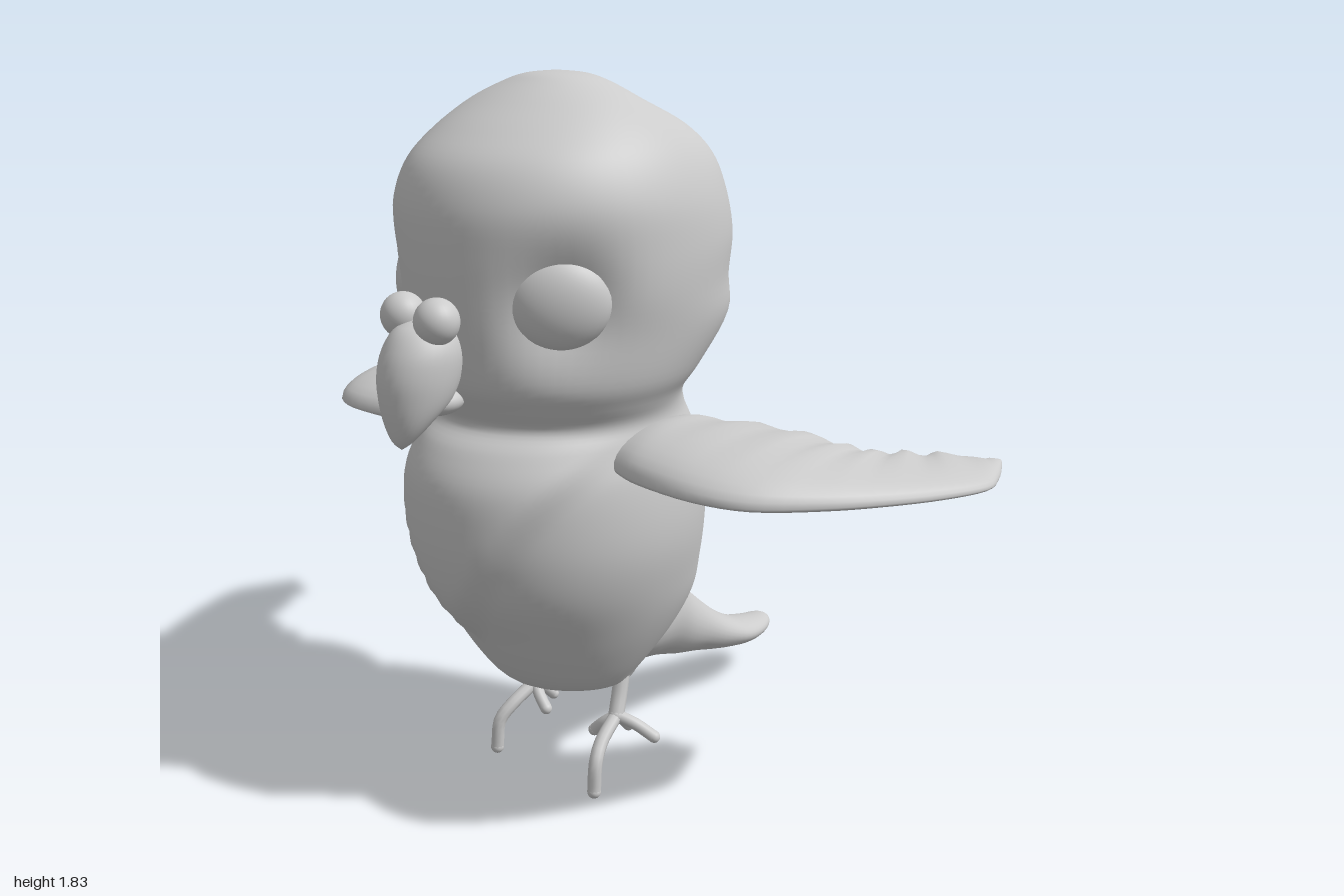
import * as THREE from 'three';

const material = new THREE.MeshStandardMaterial({ color: 0xcccccc, roughness: 0.8 });

// Catmull-Rom blend of a list of stations into a finer list
function refine(rows, steps) {
  const out = [];
  const at = (i) => rows[Math.min(Math.max(i, 0), rows.length - 1)];
  for (let i = 0; i < rows.length - 1; i++) {
    for (let s = 0; s < steps; s++) {
      const t = s / steps;
      out.push(at(i).map((b, k) => {
        const a = at(i - 1)[k], c = at(i + 1)[k], d = at(i + 2)[k];
        return b + 0.5 * t * (c - a + t * (2 * a - 5 * b + 4 * c - d + t * (3 * (b - c) + d - a)));
      }));
    }
  }
  out.push(rows[rows.length - 1]);
  return out;
}

// Skins closed rings: point(station, cos, sin) gives a corner as [x, y, z]
function loft(name, stations, segments, steps, point) {
  const rows = refine(stations, steps), pos = [], idx = [];
  rows.forEach((row, i) => {
    for (let j = 0; j < segments; j++) {
      const a = (j / segments) * Math.PI * 2;
      pos.push(...point(row, Math.cos(a), Math.sin(a)));
      if (i === rows.length - 1) continue;
      const p = i * segments + j, q = i * segments + ((j + 1) % segments);
      idx.push(p, p + segments, q, q, p + segments, q + segments);
    }
  });
  const geo = new THREE.BufferGeometry();
  geo.setAttribute('position', new THREE.Float32BufferAttribute(pos, 3));
  geo.setIndex(idx);
  geo.computeVertexNormals();
  return named(name, geo);
}

function named(name, geo) {
  const mesh = new THREE.Mesh(geo, material);
  mesh.name = name;
  return mesh;
}

function ball(name, x, y, z, rx, ry, rz, turn = 0) {
  const mesh = named(name, new THREE.SphereGeometry(1, 28, 20));
  mesh.position.set(x, y, z);
  mesh.scale.set(rx, ry, rz);
  mesh.rotation.y = turn;
  return mesh;
}

// Horizontal oval: [y, half width, back z, front z]
const oval = ([y, w, b, f], c, s) => [w * c, y, (b + f) / 2 + ((f - b) / 2) * s];

// Body and head surface with a V-shaped bib and eye sockets
function bodyPoint(row, c, s) {
  const p = oval(row, c, s);
  const [x, y] = p;
  if (s > 0 && y < 1.05) {
    const below = THREE.MathUtils.smoothstep(0.52 + Math.abs(x) * 1.55 - y, -0.03, 0.07);
    p[2] -= 0.035 * below * s * THREE.MathUtils.smoothstep(y, 0.28, 0.5);
  }
  const dx = Math.abs(x) - 0.27, dy = y - 1.34, dz = p[2] - 0.45;
  const dent = 0.06 * Math.exp(-((dx * dx + dy * dy + dz * dz) / 0.014));
  p[0] -= Math.sign(x) * dent * 0.7;
  p[2] -= dent * 0.7;
  return p;
}

const BODY = [
  [0.25, 0, 0.08, 0.08], [0.255, 0.12, -0.02, 0.2], [0.3, 0.17, -0.07, 0.33], [0.4, 0.235, -0.17, 0.44],
  [0.5, 0.285, -0.23, 0.52], [0.6, 0.32, -0.235, 0.58], [0.7, 0.342, -0.235, 0.605], [0.8, 0.346, -0.235, 0.61],
  [0.9, 0.335, -0.22, 0.6], [0.98, 0.31, -0.18, 0.555], [1.03, 0.3, -0.15, 0.505], [1.08, 0.32, -0.135, 0.53],
  [1.14, 0.35, -0.19, 0.565], [1.25, 0.375, -0.29, 0.585], [1.35, 0.388, -0.275, 0.595], [1.45, 0.39, -0.288, 0.598],
  [1.55, 0.38, -0.265, 0.59], [1.64, 0.347, -0.225, 0.55], [1.71, 0.295, -0.14, 0.47], [1.77, 0.22, -0.01, 0.375],
  [1.81, 0.14, 0.06, 0.3], [1.83, 0.075, 0.11, 0.25], [1.837, 0, 0.18, 0.18],
];

// Tail: [z, half width, bottom y, top y]
const TAIL = [
  [0.1, 0.12, 0.28, 0.5], [-0.02, 0.16, 0.25, 0.53], [-0.14, 0.15, 0.225, 0.54], [-0.24, 0.125, 0.195, 0.44],
  [-0.34, 0.1, 0.17, 0.35], [-0.45, 0.085, 0.14, 0.265], [-0.56, 0.078, 0.12, 0.205], [-0.65, 0.06, 0.118, 0.18],
  [-0.71, 0.035, 0.13, 0.172], [-0.735, 0, 0.155, 0.155],
];

const BEAK = [
  [1.01, 0, 0.695, 0.695], [1.03, 0.026, 0.665, 0.715], [1.07, 0.055, 0.62, 0.728], [1.12, 0.077, 0.56, 0.737],
  [1.18, 0.088, 0.53, 0.738], [1.24, 0.085, 0.52, 0.72], [1.29, 0.055, 0.53, 0.68], [1.31, 0, 0.6, 0.6],
];

// Wing: [leading x, z, trailing x, z, edge y, rise above, drop below]
const WING = [
  [0.2, 0.26, 0.2, 0, 0.94, 0.05, 0.04], [0.3, 0.31, 0.3, -0.06, 0.94, 0.08, 0.045],
  [0.4, 0.35, 0.39, -0.09, 0.94, 0.09, 0.04], [0.57, 0.37, 0.54, -0.14, 0.94, 0.085, 0.035],
  [0.7, 0.325, 0.66, -0.15, 0.935, 0.075, 0.03], [0.81, 0.2, 0.72, -0.18, 0.93, 0.06, 0.028],
  [0.89, 0.07, 0.745, -0.25, 0.925, 0.05, 0.025], [0.955, -0.07, 0.785, -0.3, 0.92, 0.042, 0.022],
  [0.995, -0.2, 0.82, -0.37, 0.918, 0.032, 0.02], [0.975, -0.29, 0.875, -0.39, 0.918, 0.022, 0.016],
  [0.935, -0.38, 0.91, -0.415, 0.918, 0.01, 0.01], [0.92, -0.4, 0.92, -0.4, 0.918, 0, 0],
];

function wingPoint(side, [lx, lz, tx, tz, y, up, down], c, s) {
  const m = (1 + c) / 2, v = s * side;
  // Soft feather waves along the trailing edge
  const wave = 0.012 * Math.sin(lx * 45 - lz * 20) * (1 - m) * (1 - m) * (up > 0.02 ? 1 : 0);
  return [side * (tx + (lx - tx) * m), y + v * (v > 0 ? up : down) + wave, tz + (lz - tz) * m + wave];
}

// Leg and toes: smooth rods with rounded ends
function createFoot(side) {
  const foot = new THREE.Group();
  foot.name = side > 0 ? 'leftFoot' : 'rightFoot';
  const rod = (name, r, points) => {
    const pts = points.map(([x, y, z]) => new THREE.Vector3(side * x, y, z));
    foot.add(named(name, new THREE.TubeGeometry(new THREE.CatmullRomCurve3(pts), 12, r, 10)));
    const end = pts[pts.length - 1];
    foot.add(ball(name + 'Tip', end.x, end.y, end.z, r, r, r));
  };
  const ankle = [0.15, 0.185, 0.13];
  rod('leg', 0.021, [[0.135, 0.29, 0.09], [0.142, 0.23, 0.11], ankle]);
  rod('frontToe', 0.018, [ankle, [0.165, 0.14, 0.205], [0.178, 0.1, 0.24], [0.181, 0.022, 0.25]]);
  rod('outerToe', 0.016, [ankle, [0.195, 0.165, 0.105], [0.235, 0.13, 0.075]]);
  rod('innerToe', 0.016, [ankle, [0.12, 0.16, 0.145], [0.09, 0.13, 0.15]]);
  rod('backToe', 0.015, [ankle, [0.145, 0.155, 0.095], [0.14, 0.13, 0.07]]);
  return foot;
}

export function createModel() {
  const bird = new THREE.Group();
  bird.name = 'bird';
  bird.add(loft('bodyAndHead', BODY, 72, 5, bodyPoint));
  bird.add(loft('tail', TAIL, 32, 4, ([z, w, b, t], c, s) => [w * c, (b + t) / 2 + ((t - b) / 2) * s, z]));
  bird.add(loft('upperBeak', BEAK, 32, 4, oval));
  bird.add(ball('lowerBeak', 0, 1.105, 0.58, 0.055, 0.035, 0.065));
  for (const side of [1, -1]) {
    const prefix = side > 0 ? 'left' : 'right';
    bird.add(loft(prefix + 'Wing', WING, 32, 4, (row, c, s) => wingPoint(side, row, c, s)));
    bird.add(ball(prefix + 'Eye', side * 0.235, 1.34, 0.418, 0.12, 0.11, 0.062, side * Math.PI / 4));
    bird.add(ball(prefix + 'Nostril', side * 0.057, 1.305, 0.628, 0.053, 0.054, 0.053));
    bird.add(createFoot(side));
  }
  return bird;
}
